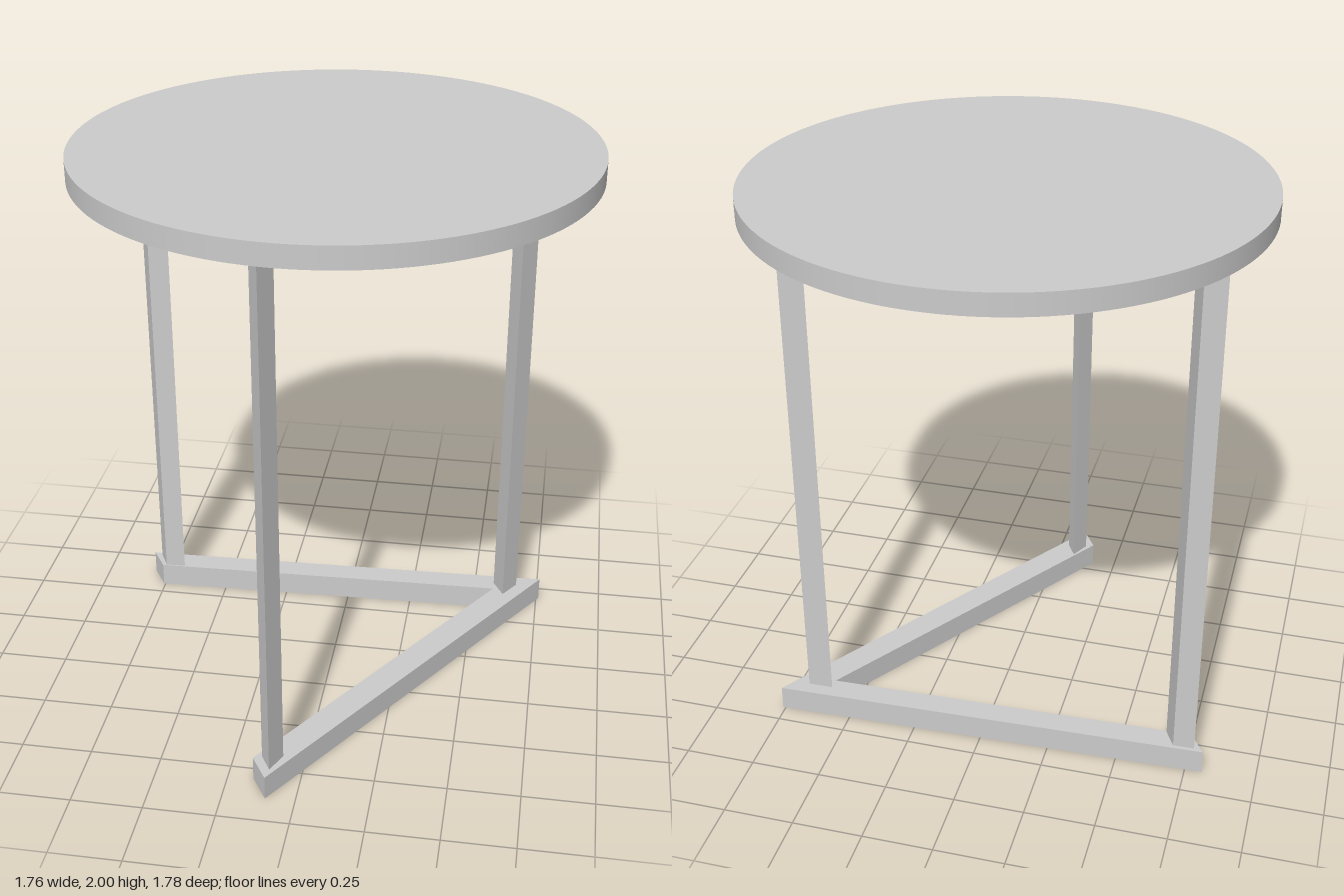
import * as THREE from 'three';

const material = new THREE.MeshStandardMaterial({ color: 0xcccccc });

// Upright prism from an outline of [x, z] corners, between two heights
function prism(name, outline, bottom, top) {
  const shape = new THREE.Shape(outline.map(([x, z]) => new THREE.Vector2(x, -z)));
  const geometry = new THREE.ExtrudeGeometry(shape, { depth: top - bottom, bevelEnabled: false });
  geometry.rotateX(-Math.PI / 2);
  const mesh = new THREE.Mesh(geometry, material);
  mesh.name = name;
  mesh.position.y = bottom;
  return mesh;
}

export function createModel() {
  const group = new THREE.Group();
  group.name = 'sideTable';
  const baseTop = 0.09, topBottom = 1.925;

  // Round table top
  const top = new THREE.Mesh(
    new THREE.CylinderGeometry(0.88, 0.88, 2 - topBottom, 128), material);
  top.name = 'tableTop';
  top.position.set(0, (2 + topBottom) / 2, -0.01);
  group.add(top);

  // V-shaped floor frame, its two ends cut parallel to the open side
  group.add(prism('baseFrame', [
    [-0.81, -0.39], [0.76, -0.433], [-0.103, 0.893],
    [-0.161, 0.80], [0.58, -0.34], [-0.756, -0.305],
  ], 0, baseTop));

  // Legs: a rhombus at each open end, a triangle at the joined corner
  const legs = {
    leftEndLeg: [[-0.777, -0.377], [-0.702, -0.379], [-0.667, -0.312], [-0.742, -0.31]],
    frontLeg: [[-0.095, 0.85], [-0.06, 0.775], [-0.095, 0.713], [-0.132, 0.785]],
    cornerLeg: [[0.62, -0.308], [0.669, -0.382], [0.58, -0.38]],
  };
  for (const [name, outline] of Object.entries(legs)) {
    group.add(prism(name, outline, baseTop, topBottom));
  }
  return group;
}
